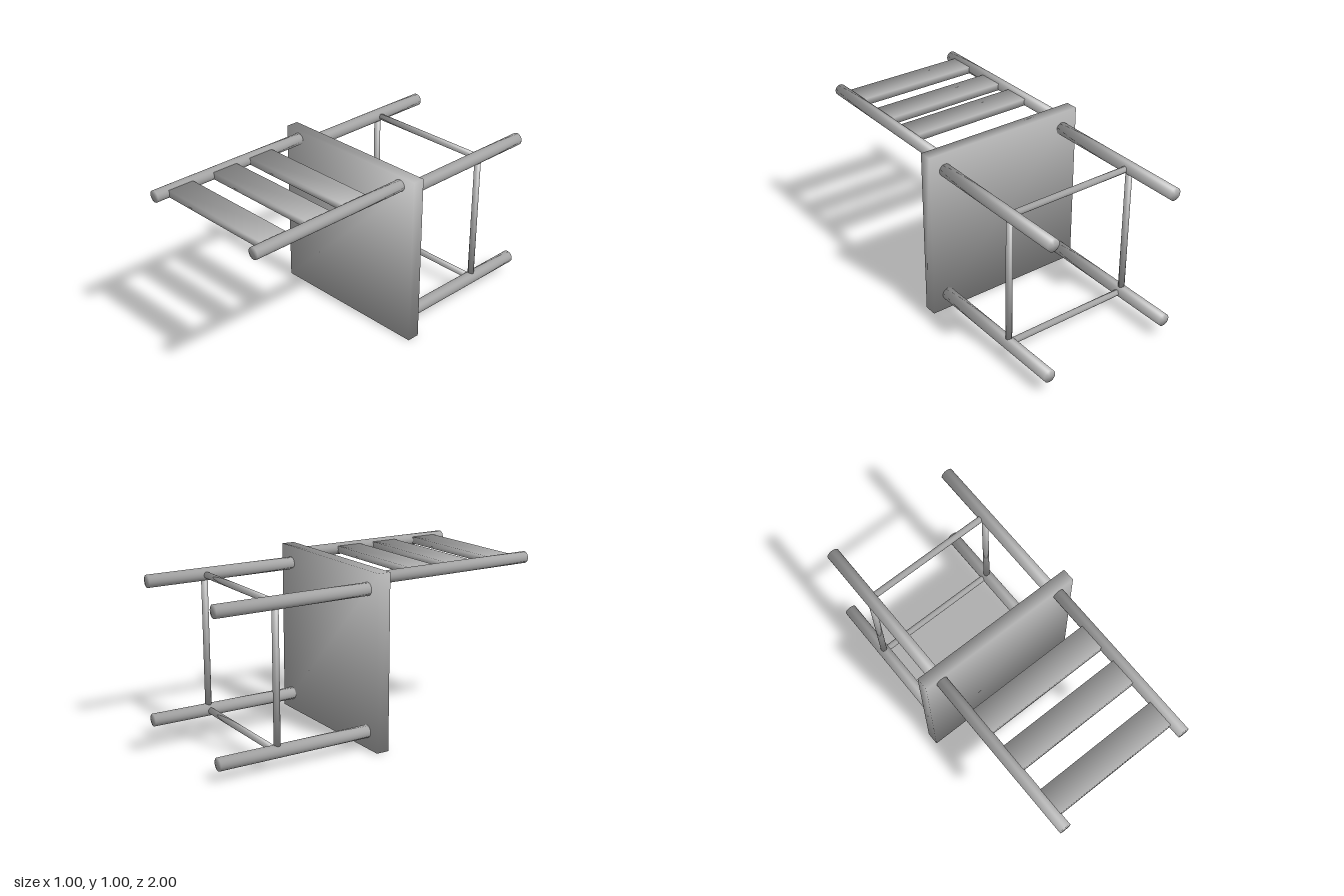
import * as THREE from 'three';

// Blend normals across every edge so caps and corners shade softly
function soften(geometry, hx, hy, hz) {
  const p = geometry.attributes.position;
  const n = geometry.attributes.normal;
  const v = new THREE.Vector3();
  for (let i = 0; i < p.count; i++) {
    v.set(p.getX(i) / hx, p.getY(i) / hy, p.getZ(i) / hz).normalize();
    n.setXYZ(i, v.x, v.y, v.z);
  }
  return geometry;
}

export function createModel() {
  const chair = new THREE.Group();
  chair.name = 'chair';
  const grey = new THREE.MeshStandardMaterial({ color: 0xb4b4b4 });
  grey.name = 'grey';

  const board = (name, w, h, d, x, y, z) => {
    const mesh = new THREE.Mesh(soften(new THREE.BoxGeometry(w, h, d), w / 2, h / 2, d / 2), grey);
    mesh.name = name;
    mesh.position.set(x, y, z);
    chair.add(mesh);
  };

  // Round rod between two points
  const rod = (name, radius, from, to) => {
    const a = new THREE.Vector3(...from);
    const b = new THREE.Vector3(...to);
    const length = a.distanceTo(b);
    const geometry = new THREE.CylinderGeometry(radius, radius, length, 32);
    const mesh = new THREE.Mesh(soften(geometry, radius, length / 2, radius), grey);
    mesh.name = name;
    mesh.position.copy(a).add(b).multiplyScalar(0.5);
    mesh.quaternion.setFromUnitVectors(new THREE.Vector3(0, 1, 0), b.sub(a).normalize());
    chair.add(mesh);
  };

  // The chair is tipped over: seat upright, legs to the back, backrest to the front
  const seatFront = -0.013, seatBack = -0.088;
  board('seat', 1, 1, seatFront - seatBack, 0, 0.5, (seatFront + seatBack) / 2);

  const stretcherZ = -0.653, stretcherRadius = 0.0185, reach = 0.37;
  for (const x of [-0.4, 0.4]) {
    const side = x < 0 ? 'right' : 'left';
    for (const y of [0.1, 0.9]) {
      rod(side + (y < 0.5 ? 'FrontLeg' : 'BackLeg'), 0.0365, [x, y, seatBack], [x, y, -1]);
    }
    rod(side + 'BackPost', 0.034, [x, 0.952, seatFront], [x, 0.952, 1]);
    rod(side + 'Stretcher', stretcherRadius, [x, 0.13, stretcherZ], [x, 0.87, stretcherZ]);
  }

  // Stretchers across the leg pairs
  for (const y of [0.1, 0.9]) {
    rod(y < 0.5 ? 'frontStretcher' : 'backStretcher', stretcherRadius,
      [-reach, y, stretcherZ], [reach, y, stretcherZ]);
  }

  // Backrest slats
  [0.297, 0.55, 0.847].forEach((z, i) => {
    board('backSlat' + (i + 1), 0.745, 0.04, 0.16, 0, 0.952, z);
  });

  return chair;
}
